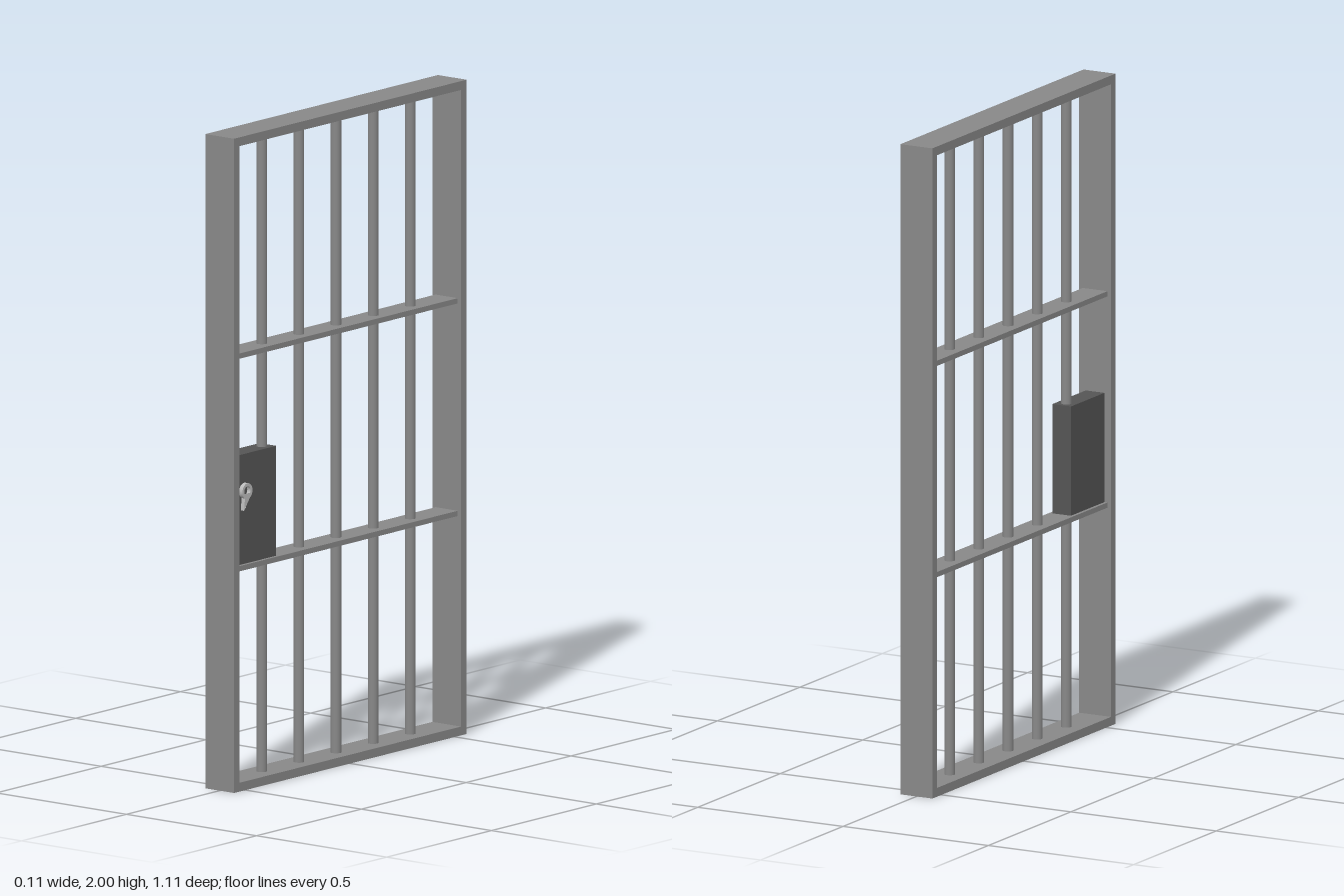
import * as THREE from 'three';

const steel = new THREE.MeshStandardMaterial({ color: 0x888888 });
const darkSteel = new THREE.MeshStandardMaterial({ color: 0x555555 });
const paleSteel = new THREE.MeshStandardMaterial({ color: 0xbbbbbb });

const HALF_W = 0.555, HEIGHT = 2, DEPTH = 0.11, RIM = 0.027;

function add(group, name, geometry, material, x, y, z) {
  const mesh = new THREE.Mesh(geometry, material);
  mesh.name = name;
  mesh.position.set(x, y, z);
  group.add(mesh);
  return mesh;
}

// Keyhole outline: round head with a flared leg, centred on the head
function keyholePath(PathType, radius, neck, foot, bottom) {
  const path = new PathType();
  const a = Math.asin(neck / radius);
  path.moveTo(foot, bottom);
  path.absarc(0, 0, radius, -Math.PI / 2 + a, Math.PI * 1.5 - a, false);
  path.lineTo(-foot, bottom);
  path.closePath();
  return path;
}

export function createModel() {
  const door = new THREE.Group();
  door.name = 'barredDoor';

  // Outer frame: rectangle with a rectangular opening
  const outline = new THREE.Shape([
    new THREE.Vector2(-HALF_W, 0), new THREE.Vector2(HALF_W, 0),
    new THREE.Vector2(HALF_W, HEIGHT), new THREE.Vector2(-HALF_W, HEIGHT),
  ]);
  const inner = HALF_W - RIM;
  outline.holes.push(new THREE.Path([
    new THREE.Vector2(-inner, RIM), new THREE.Vector2(-inner, HEIGHT - RIM),
    new THREE.Vector2(inner, HEIGHT - RIM), new THREE.Vector2(inner, RIM),
  ]));
  const frame = new THREE.ExtrudeGeometry(outline, { depth: DEPTH, bevelEnabled: false });
  frame.translate(0, 0, -DEPTH / 2).rotateY(Math.PI / 2);
  add(door, 'frame', frame, steel, 0, 0, 0);

  // Upright round bars
  const bar = new THREE.CylinderGeometry(0.016, 0.016, HEIGHT - 2 * RIM, 16, 1, true);
  for (let i = -2; i <= 2; i++) add(door, 'bar', bar, steel, 0, HEIGHT / 2, i * 0.177);

  // Flat cross rails
  const rail = new THREE.BoxGeometry(0.085, 0.016, 2 * inner);
  for (const y of [0.677, 1.327]) add(door, 'crossRail', rail, steel, 0, y, 0);

  // Lock box and raised keyhole rim
  const lock = new THREE.Group();
  lock.name = 'lock';
  add(lock, 'lockBox', new THREE.BoxGeometry(0.064, 0.337, 0.204), darkSteel, 0, 0.8525, 0.427);
  const rim = keyholePath(THREE.Shape, 0.024, 0.012, 0.016, -0.058);
  rim.holes.push(keyholePath(THREE.Path, 0.015, 0.006, 0.009, -0.051));
  const keyhole = new THREE.ExtrudeGeometry(rim, { depth: 0.014, bevelEnabled: false, curveSegments: 16 });
  keyhole.rotateY(Math.PI / 2);
  add(lock, 'keyholeRim', keyhole, paleSteel, 0.031, 0.909, 0.478);
  door.add(lock);

  return door;
}
